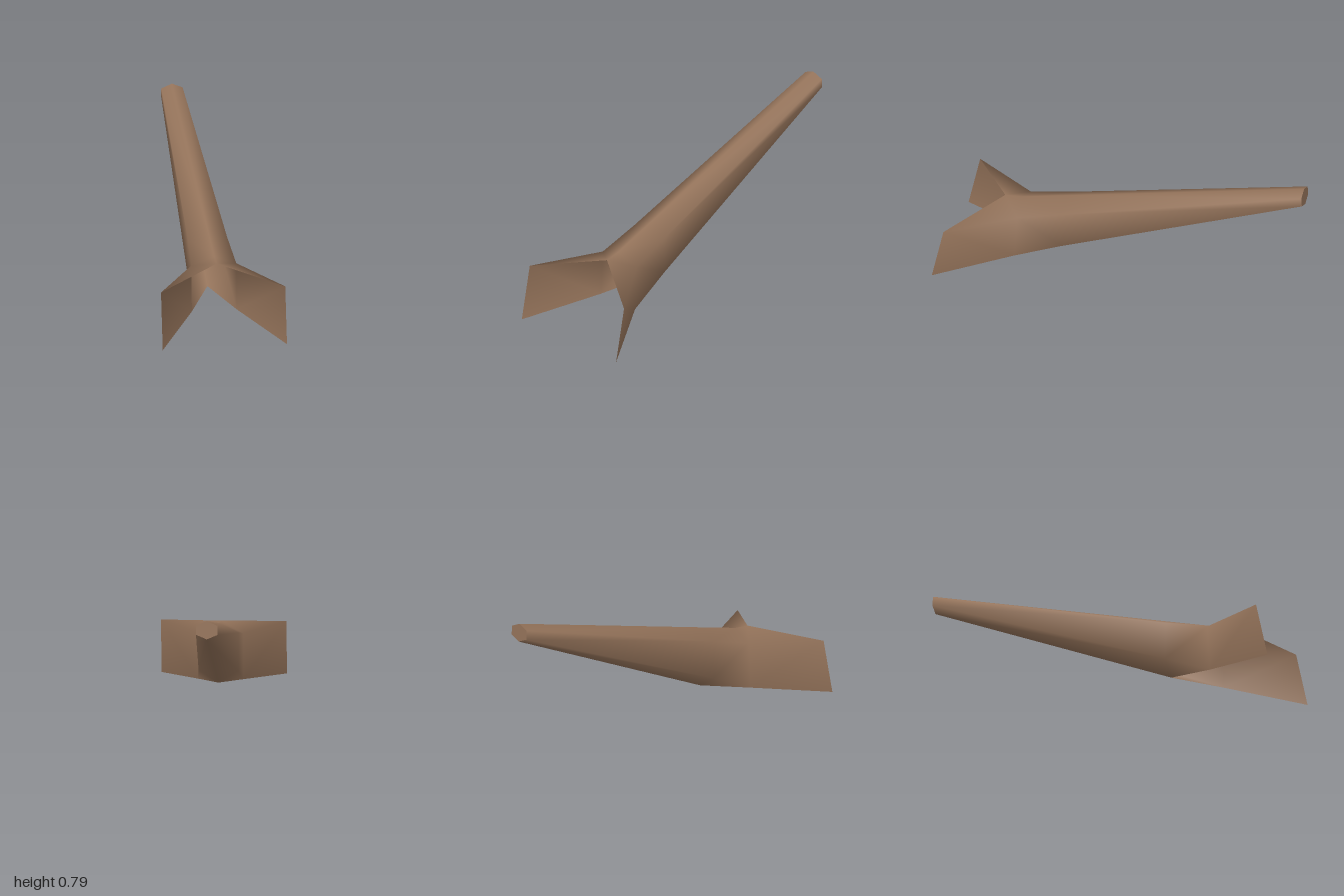
import * as THREE from 'three';
import { mergeVertices } from 'three/addons/utils/BufferGeometryUtils.js';

// Cross-sections from the narrow rear end to the forked front.
// Each lists one half: top, upper side, lower side, bottom.
const SECTIONS = [
  [[0, 0.79, -0.993], [0.058, 0.765, -0.995], [0.058, 0.715, -0.998], [0, 0.69, -1]],
  [[0, 0.442, 0.35], [0.107, 0.39, 0.345], [0.107, 0.18, 0.34], [0, 0.113, 0.34]],
  [[0, 0.378, 0.6], [0.122, 0.327, 0.585], [0.122, 0.068, 0.6], [0, 0.113, 0.34]],
  [[0, 0.369, 0.69], [0.338, 0.31, 0.935], [0.338, 0.002, 1], [0, 0.113, 0.34]],
];

const mirror = ([x, y, z]) => [-x, y, z];
const fullRing = (h) => [...h, mirror(h[2]), mirror(h[1])];

function geometryFrom(triangles) {
  const g = new THREE.BufferGeometry();
  g.setAttribute('position', new THREE.Float32BufferAttribute(triangles.flat(2), 3));
  const merged = mergeVertices(g);
  merged.computeVertexNormals();
  return merged;
}

export function createModel() {
  const group = new THREE.Group();
  group.name = 'forkedHollowHandle';

  const brown = new THREE.MeshStandardMaterial({ color: 0x94735a, side: THREE.DoubleSide });
  brown.name = 'warmBrown';

  const rings = SECTIONS.map(fullRing);

  // Hollow six-sided tube that opens into two thin prongs
  const shell = [];
  for (let i = 0; i < rings.length - 1; i++) {
    const isFork = i === rings.length - 2;
    for (let k = 0; k < 6; k++) {
      if (isFork && (k === 2 || k === 3)) continue; // open between the prongs
      const n = (k + 1) % 6;
      const a = rings[i][k], b = rings[i][n], c = rings[i + 1][n], d = rings[i + 1][k];
      const faces = k < 3 ? [[a, d, b], [d, c, b]] : [[a, d, c], [a, c, b]];
      // Drop faces that collapse where the floor ends in a point
      shell.push(...faces.filter((f) => new Set(f.map(String)).size === 3));
    }
  }
  const body = new THREE.Mesh(geometryFrom(shell), brown);
  body.name = 'handleAndProngs';
  group.add(body);

  // Flat cap closing the rear end
  const r = rings[0];
  const capFaces = [1, 2, 3, 4].map((k) => [r[0], r[k], r[k + 1]]);
  const cap = new THREE.Mesh(geometryFrom(capFaces), brown);
  cap.name = 'rearCap';
  group.add(cap);

  return group;
}
